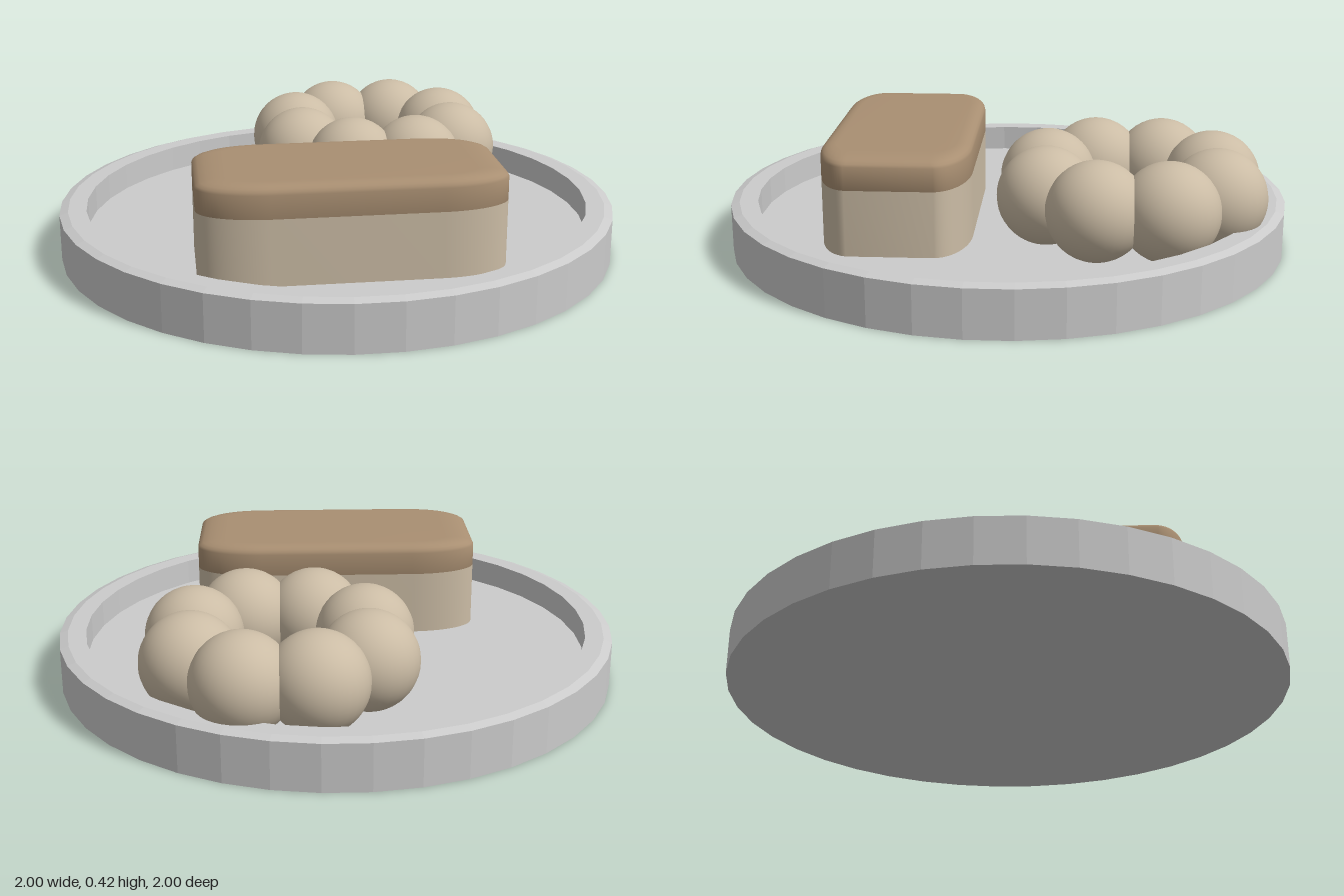
import * as THREE from 'three';
import { toCreasedNormals } from 'three/addons/utils/BufferGeometryUtils.js';

const FLOOR = 0.08;

function material(color, extra = {}) {
  return new THREE.MeshStandardMaterial({ color, ...extra });
}

function addMesh(parent, name, geometry, mat) {
  const mesh = new THREE.Mesh(geometry, mat);
  mesh.name = name;
  parent.add(mesh);
  return mesh;
}

// Rounded square outline; later stretched to twice its length
function roundedSquare(h, r) {
  const s = new THREE.Shape();
  s.absarc(h - r, h - r, r, 0, Math.PI / 2);
  s.absarc(r - h, h - r, r, Math.PI / 2, Math.PI);
  s.absarc(r - h, r - h, r, Math.PI, Math.PI * 1.5);
  s.absarc(h - r, r - h, r, Math.PI * 1.5, Math.PI * 2);
  s.closePath();
  return s;
}

// Upright slab from y0 to y1, optionally with soft edges
function slab(y0, y1, inset, bevel) {
  const g = new THREE.ExtrudeGeometry(roundedSquare(0.26, 0.12), {
    depth: y1 - y0 - 2 * bevel,
    curveSegments: 10,
    bevelEnabled: bevel > 0,
    bevelThickness: bevel,
    bevelSize: inset,
    bevelOffset: -inset,
    bevelSegments: 5,
  });
  g.rotateX(-Math.PI / 2);
  g.translate(0, y0 + bevel, 0);
  g.scale(2, 1, 1);
  return toCreasedNormals(g, 0.6);
}

export function createModel() {
  const model = new THREE.Group();
  model.name = 'pastryPlate';
  const dough = material(0xcbbca5);

  // Shallow faceted plate with a raised rim
  const profile = [
    [0, 0], [1, 0], [1, 0.165], [0.97, 0.175],
    [0.905, 0.175], [0.905, FLOOR], [0, FLOOR],
  ].map(([x, y]) => new THREE.Vector2(x, y));
  addMesh(model, 'plate', new THREE.LatheGeometry(profile, 40),
    material(0xcccccc, { flatShading: true }));

  // Long pastry with a soft-edged glaze on top
  const bar = new THREE.Group();
  bar.name = 'longPastry';
  bar.position.set(-0.15, 0, 0.335);
  bar.rotation.y = -Math.PI / 8;
  addMesh(bar, 'pastryBase', slab(FLOOR, 0.31, 0, 0), dough);
  addMesh(bar, 'glaze', slab(0.28, 0.42, 0.05, 0.03), material(0xa98f72));
  model.add(bar);

  // Ring pastry made of eight overlapping balls
  const ring = new THREE.Group();
  ring.name = 'ringPastry';
  ring.position.set(0.355, 0.25, -0.33);
  const ball = new THREE.SphereGeometry(0.17, 32, 24);
  for (let i = 0; i < 8; i++) {
    const a = (i * Math.PI) / 4;
    addMesh(ring, 'ringBall', ball, dough)
      .position.set(0.315 * Math.cos(a), 0, 0.315 * Math.sin(a));
  }
  model.add(ring);

  return model;
}
